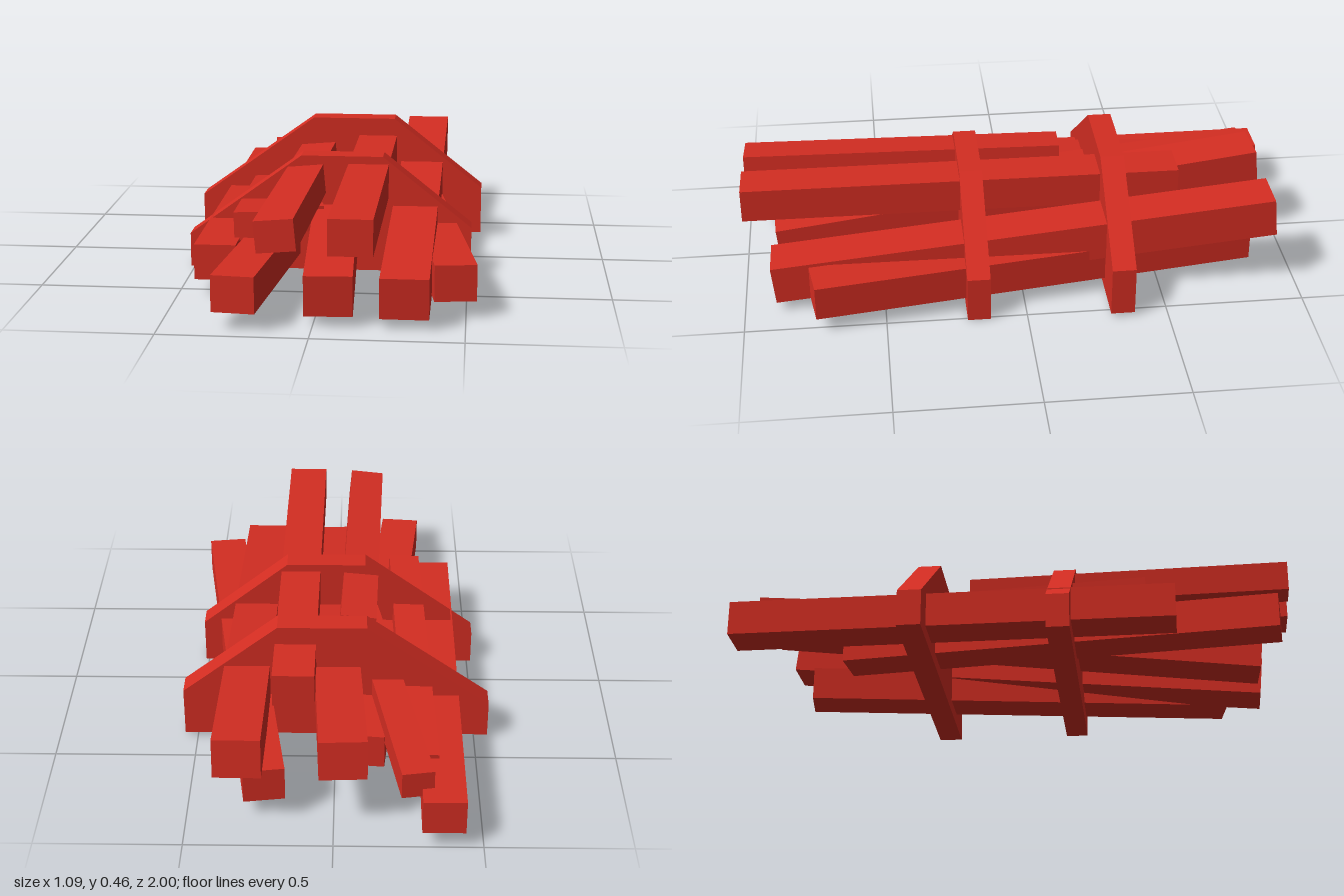
import * as THREE from 'three';

export function createModel() {
  const model = new THREE.Group();
  model.name = 'beamBundle';
  const red = new THREE.MeshStandardMaterial({ color: 0xd42d22 });
  red.name = 'red paint';

  // Square-cut beam between the centres of its front and back ends
  function beam(name, front, back, width, height, roll = 0) {
    const a = new THREE.Vector3(...front);
    const b = new THREE.Vector3(...back);
    const mesh = new THREE.Mesh(new THREE.BoxGeometry(width, height, a.distanceTo(b)), red);
    mesh.name = name;
    mesh.position.copy(a).add(b).multiplyScalar(0.5);
    mesh.lookAt(a);
    mesh.rotateZ(roll);
    model.add(mesh);
  }

  // Bottom layer
  beam('leftBeam', [-0.367, 0.122, 0.577], [-0.367, 0.122, -1], 0.145, 0.125);
  beam('slantedLeftBeam', [-0.253, 0.122, 0.943], [-0.1, 0.122, -0.633], 0.145, 0.125);
  beam('slantedRightBeam', [0.465, 0.122, 0.755], [0.235, 0.122, -0.833], 0.142, 0.125);

  // Long beams rising to the back
  beam('middleRisingBeam', [0.052, 0.105, 0.882], [-0.032, 0.285, -0.914], 0.162, 0.142);
  beam('rightRisingBeam', [0.301, 0.105, 0.893], [0.319, 0.285, -0.908], 0.162, 0.142);

  // Thin beams of the middle layer
  beam('thinSinkingBeam', [-0.257, 0.226, 0.473], [-0.297, 0.15, -0.757], 0.115, 0.1, 0.03);
  beam('thinSlantedBeam', [-0.073, 0.203, 0.27], [-0.28, 0.203, -0.93], 0.11, 0.095);

  // Top layer
  beam('topRightBeam', [0.133, 0.335, 0.995], [0.143, 0.335, -0.582], 0.146, 0.122);
  beam('topLeftBeam', [-0.108, 0.334, 0.99], [-0.075, 0.334, -0.177], 0.13, 0.106, 0.09);

  // Flat bands holding the bundle together
  function band(name, outline, zBack, zFront) {
    const shape = new THREE.Shape(outline.map(([x, y]) => new THREE.Vector2(x, y)));
    const geometry = new THREE.ExtrudeGeometry(shape, { depth: zFront - zBack, bevelEnabled: false });
    const mesh = new THREE.Mesh(geometry, red);
    mesh.name = name;
    mesh.position.z = zBack;
    model.add(mesh);
  }
  band('frontBand', [[-0.515, 0], [0.511, 0], [0.511, 0.168], [0.19, 0.424],
    [-0.105, 0.424], [-0.515, 0.125]], 0.131, 0.213);
  band('backBand', [[-0.548, 0.015], [0.545, 0.015], [0.545, 0.195], [0.205, 0.463],
    [-0.11, 0.463], [-0.548, 0.148]], -0.38, -0.295);

  return model;
}
